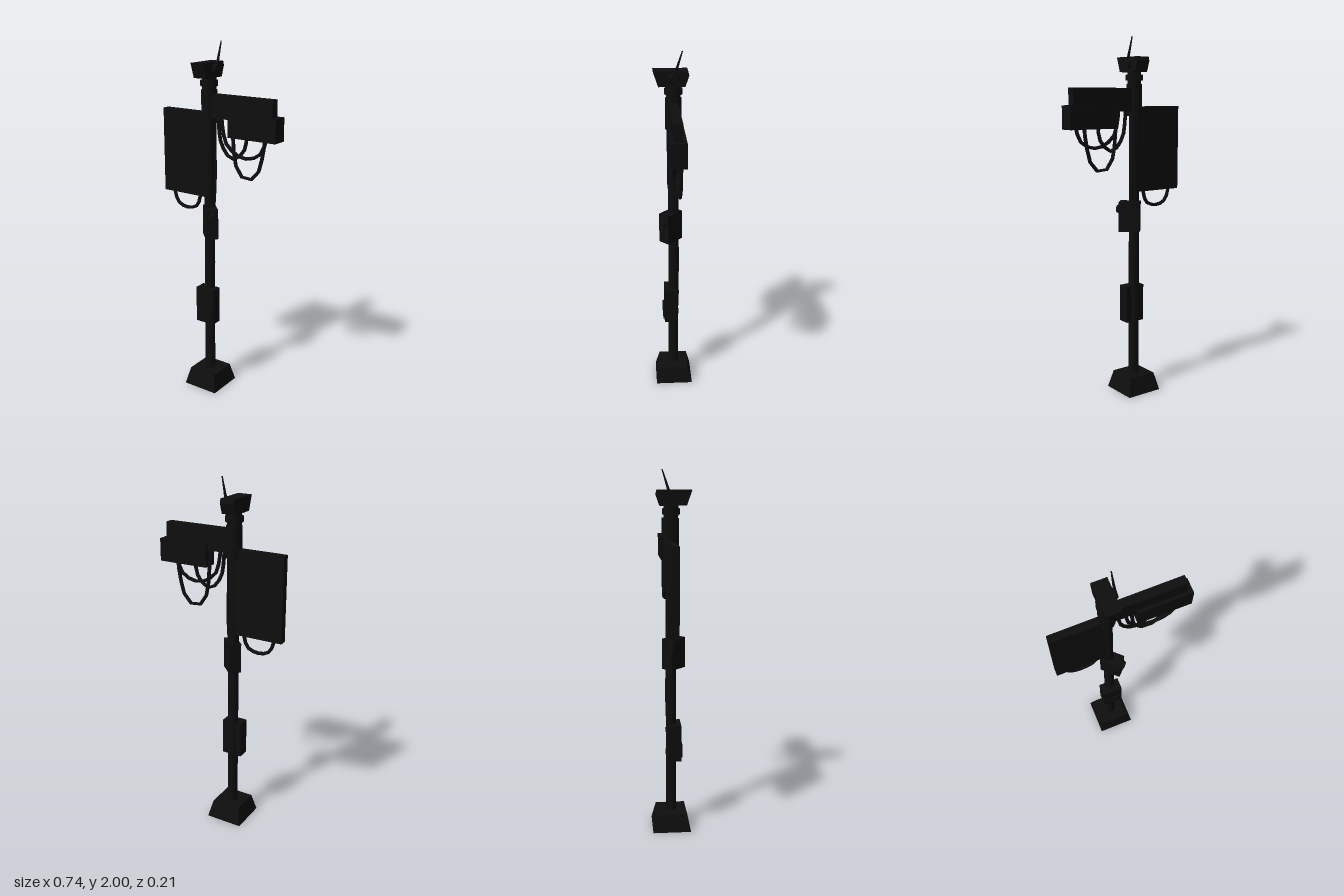
import * as THREE from 'three';

const PX = -0.072; // pole axis
const mat = new THREE.MeshStandardMaterial({ color: 0x0e0e0e, flatShading: true });

export function createModel() {
  const root = new THREE.Group();

  const add = (name, geo, x = 0, y = 0, z = 0, parent = root) => {
    const m = new THREE.Mesh(geo, mat);
    m.name = name;
    m.position.set(x, y, z);
    parent.add(m);
    return m;
  };
  // Box given by its limits
  const box = (name, x0, x1, y0, y1, z0, z1, parent) =>
    add(name, new THREE.BoxGeometry(x1 - x0, y1 - y0, z1 - z0),
      (x0 + x1) / 2, (y0 + y1) / 2, (z0 + z1) / 2, parent);
  // Ring or tube around the pole axis
  const collar = (name, r, y0, y1) =>
    add(name, new THREE.CylinderGeometry(r, r, y1 - y0, 12), PX, (y0 + y1) / 2, 0);
  const cable = (name, pts, r = 0.01, segs = 10) => {
    const curve = new THREE.CatmullRomCurve3(pts.map(p => new THREE.Vector3(...p)));
    return add(name, new THREE.TubeGeometry(curve, segs, r, 6), 0, 0, 0);
  };

  // Square tapered foot
  const foot = new THREE.CylinderGeometry(0.083 * Math.SQRT2, 0.107 * Math.SQRT2, 0.1, 4);
  foot.rotateY(Math.PI / 4);
  add('base', foot, PX, 0.05, 0);

  // Pole with its sleeve and neck rings
  collar('pole', 0.029, 0.09, 1.83);
  collar('armSleeve', 0.043, 1.58, 1.75);
  collar('neck', 0.038, 1.74, 1.82);
  collar('neckRing', 0.048, 1.77, 1.80);

  // Lower cabinet strapped to the pole
  box('lowerCabinet', -0.13, -0.014, 0.41, 0.62, -0.014, 0.054);
  box('lowerCabinetDoor', -0.12, -0.024, 0.43, 0.5, 0.05, 0.062);
  for (const y of [0.45, 0.58]) collar('lowerCabinetStrap', 0.032, y - 0.012, y + 0.012);

  // Button box turned to the front corner
  const buttonBox = new THREE.Group();
  buttonBox.name = 'buttonBox';
  buttonBox.position.set(PX, 0, 0);
  buttonBox.rotation.y = Math.PI / 4;
  root.add(buttonBox);
  box('buttonHousing', -0.034, 0.034, 0.935, 1.105, -0.034, 0.081, buttonBox);
  const button = new THREE.CylinderGeometry(0.02, 0.027, 0.018, 12);
  button.rotateX(Math.PI / 2);
  add('button', button, 0, 1.06, 0.089, buttonBox);

  // Flat sign panel
  box('signPanel', -0.37, -0.08, 1.16, 1.63, -0.021, 0.021);
  cable('panelCable', [[-0.318, 1.18, 0], [-0.31, 1.13, 0], [-0.285, 1.09, 0], [-0.23, 1.073, 0],
    [-0.165, 1.09, 0], [-0.142, 1.13, 0], [-0.137, 1.18, 0]]);

  // Side arm and the signal box below it
  box('arm', -0.07, 0.335, 1.605, 1.73, -0.024, 0.024);
  box('signalBox', 0.075, 0.365, 1.515, 1.64, -0.044, 0.041);

  // Cables hanging under the arm
  cable('innerCable', [[-0.013, 1.62, 0], [-0.008, 1.54, 0], [0.01, 1.46, 0], [0.075, 1.392, 0],
    [0.13, 1.42, 0], [0.162, 1.47, 0], [0.165, 1.54, 0]]);
  cable('middleCable', [[0.02, 1.62, 0.018], [0.03, 1.54, 0.018], [0.055, 1.47, 0.018], [0.15, 1.412, 0.018],
    [0.245, 1.43, 0.018], [0.28, 1.47, 0.018], [0.298, 1.54, 0.018]]);
  cable('outerCable', [[0.056, 1.62, -0.02], [0.068, 1.5, -0.02], [0.092, 1.345, -0.02], [0.155, 1.282, -0.02],
    [0.222, 1.325, -0.02], [0.255, 1.43, -0.02], [0.27, 1.54, -0.02]]);

  // Thin cables running down the pole
  cable('upperPoleCable', [[-0.047, 1.6, -0.02], [-0.05, 1.45, -0.024], [-0.045, 1.3, -0.02],
    [-0.045, 1.18, -0.014], [-0.05, 1.08, -0.01]], 0.007, 12);
  cable('lowerPoleCable', [[-0.06, 0.95, -0.02], [-0.062, 0.84, -0.027], [-0.06, 0.72, -0.025],
    [-0.062, 0.58, -0.02]], 0.006, 10);

  // Head: slanted block that overhangs front and back
  const side = new THREE.Shape([[-0.08, 1.815], [0.06, 1.815], [0.08, 1.872], [0.074, 1.895], [-0.107, 1.895]]
    .map(p => new THREE.Vector2(...p)));
  const head = new THREE.ExtrudeGeometry(side, { depth: 0.08, bevelEnabled: false });
  head.rotateY(Math.PI / 2);
  add('head', head, PX - 0.041, 0, 0);

  // Antenna on a round side hub
  const hub = new THREE.CylinderGeometry(0.022, 0.03, 0.016, 12);
  hub.rotateZ(-Math.PI / 2);
  add('antennaHub', hub, -0.026, 1.86, 0);
  const rod = add('antenna', new THREE.CylinderGeometry(0.003, 0.009, 0.148, 6), -0.025, 1.929, -0.021);
  rod.rotation.x = -0.31;

  return root;
}
